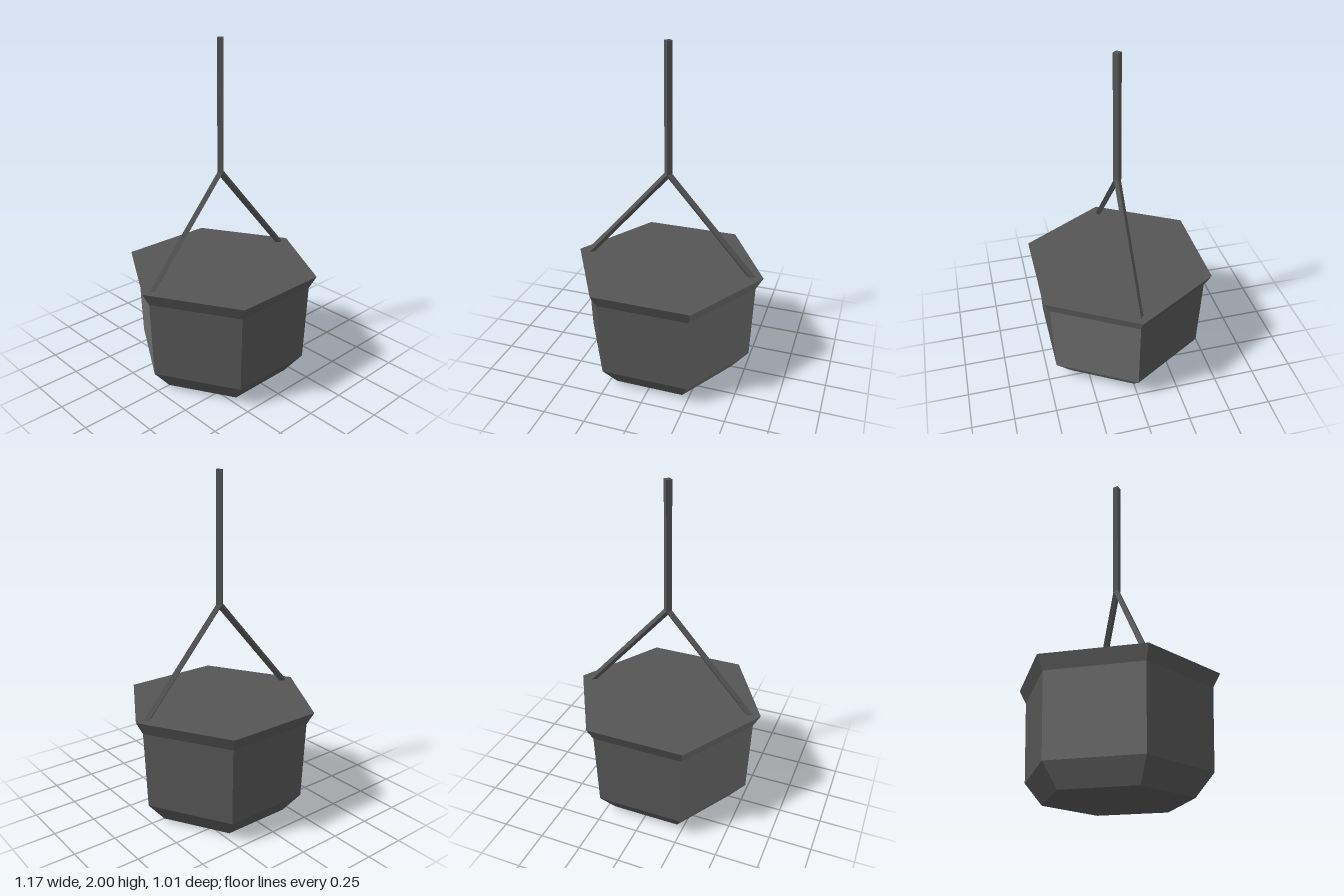
import * as THREE from 'three';

const paint = (color) => new THREE.MeshStandardMaterial({ color, flatShading: true });
const dark = paint(0x555555);
const light = paint(0x6e6e6e);

// Four-sided rod between two points, with one pair of corners facing ±z
function rod(name, from, to, radius) {
  const dir = to.clone().sub(from);
  const mesh = new THREE.Mesh(new THREE.CylinderGeometry(radius, radius, dir.length(), 4), dark);
  mesh.name = name;
  mesh.position.copy(from).add(to).multiplyScalar(0.5);
  mesh.quaternion.setFromUnitVectors(new THREE.Vector3(0, 1, 0), dir.normalize());
  return mesh;
}

// Horizontal hexagon with corners on ±x; facing is 1 for up, -1 for down
function hexagon(name, radius, y, facing) {
  const mesh = new THREE.Mesh(new THREE.CircleGeometry(radius, 6), dark);
  mesh.name = name;
  mesh.rotation.x = -facing * Math.PI / 2;
  mesh.position.y = y;
  return mesh;
}

export function createModel() {
  const group = new THREE.Group();
  group.name = 'hangingPot';

  // Six side panels: bevelled foot, slightly flaring wall and flared rim; two opposite ones are lighter
  const profile = [[0.415, 0], [0.52, 0.125], [0.54, 0.587], [0.583, 0.665]]
    .map(([r, y]) => new THREE.Vector2(r, y));
  const pot = new THREE.Group();
  pot.name = 'pot';
  for (let i = 0; i < 6; i++) {
    const geometry = new THREE.LatheGeometry(profile, 1, Math.PI / 6 + i * Math.PI / 3, Math.PI / 3);
    const panel = new THREE.Mesh(geometry, i % 3 === 0 ? light : dark);
    panel.name = `sidePanel${i + 1}`;
    pot.add(panel);
  }
  pot.add(hexagon('base', 0.415, 0, -1), hexagon('top', 0.583, 0.665, 1));
  group.add(pot);

  // Vertical hanger
  const joint = new THREE.Vector3(0, 1.245, 0);
  group.add(rod('hanger', joint, new THREE.Vector3(0, 2, 0), 0.024));

  // Two sloping arms from the joint down into the top of the pot
  for (const [name, side] of [['leftArm', 1], ['rightArm', -1]]) {
    group.add(rod(name, new THREE.Vector3(side * 0.525, 0.648, 0), joint, 0.02));
  }
  return group;
}
